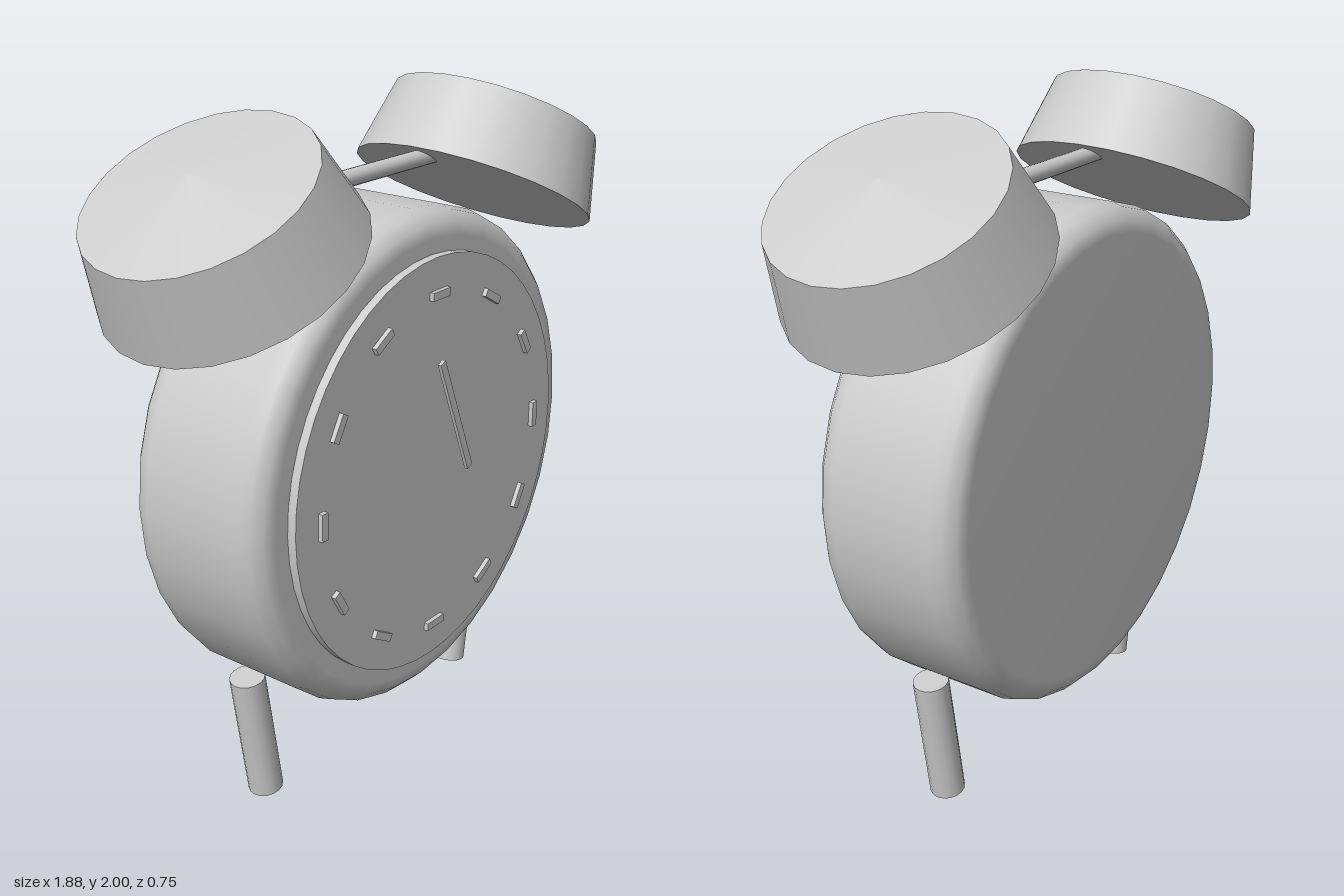
import * as THREE from 'three';

export function createModel() {
  const model = new THREE.Group();
  model.name = 'alarmClock';
  const metal = new THREE.MeshStandardMaterial({ color: 0xcccccc });
  metal.name = 'light grey';

  const add = (name, geometry, parent = model) => {
    const mesh = new THREE.Mesh(geometry, metal);
    mesh.name = name;
    parent.add(mesh);
    return mesh;
  };

  // Round case with softened rims, facing +z
  const centreY = 0.957, R = 0.742, D = 0.235, b = 0.075;
  const profile = [new THREE.Vector2(0, -D)];
  for (const side of [-1, 1]) {
    for (let i = 0; i <= 3; i++) {
      const a = (side < 0 ? i : 3 - i) / 3 * Math.PI / 2;
      profile.push(new THREE.Vector2(R - b + b * Math.sin(a), side * (D - b + b * Math.cos(a))));
    }
  }
  profile.push(new THREE.Vector2(0, D));
  add('case', new THREE.LatheGeometry(profile, 32).rotateX(Math.PI / 2)).position.y = centreY;

  // Dial disc
  add('dial', new THREE.CylinderGeometry(0.62, 0.62, 0.06, 48).rotateX(Math.PI / 2))
    .position.set(0, centreY + 0.003, 0.232);

  // Twelve hour marks
  for (let i = 0; i < 12; i++) {
    const a = i * Math.PI / 6;
    const mark = add('hourMark', new THREE.BoxGeometry(0.08, 0.024, 0.02));
    mark.position.set(0.515 * Math.sin(a), centreY + 0.003 + 0.515 * Math.cos(a), 0.266);
    mark.rotation.z = -a;
  }

  // Single hand floating just above the dial
  const hand = add('hand', new THREE.BoxGeometry(0.025, 0.395, 0.011));
  hand.position.set(0.067, 1.096, 0.283);
  hand.rotation.z = 0.385;

  // Rod joining the bells
  add('rod', new THREE.CylinderGeometry(0.025, 0.025, 0.86, 16).rotateZ(Math.PI / 2)).position.y = 1.772;

  for (const s of [-1, 1]) {
    // Tapered bell with a shallow conical crown
    const bell = new THREE.Group();
    bell.name = s > 0 ? 'leftBell' : 'rightBell';
    bell.position.set(s * 0.5425, 1.635, 0);
    bell.rotation.z = -s * 0.502;
    model.add(bell);
    add('bellSide', new THREE.CylinderGeometry(0.322, 0.374, 0.24, 24, 1, true), bell).position.y = 0.12;
    add('bellCrown', new THREE.ConeGeometry(0.322, 0.055, 24, 1, true), bell).position.y = 0.2675;
    add('bellBase', new THREE.CircleGeometry(0.374, 24).rotateX(Math.PI / 2).rotateY(Math.PI / 2), bell);

    // Splayed leg
    const leg = add(s > 0 ? 'leftLeg' : 'rightLeg', new THREE.CylinderGeometry(0.052, 0.052, 0.41, 16));
    leg.position.set(s * 0.508, 0.211, 0);
    leg.rotation.z = -s * 0.16;
  }
  return model;
}
